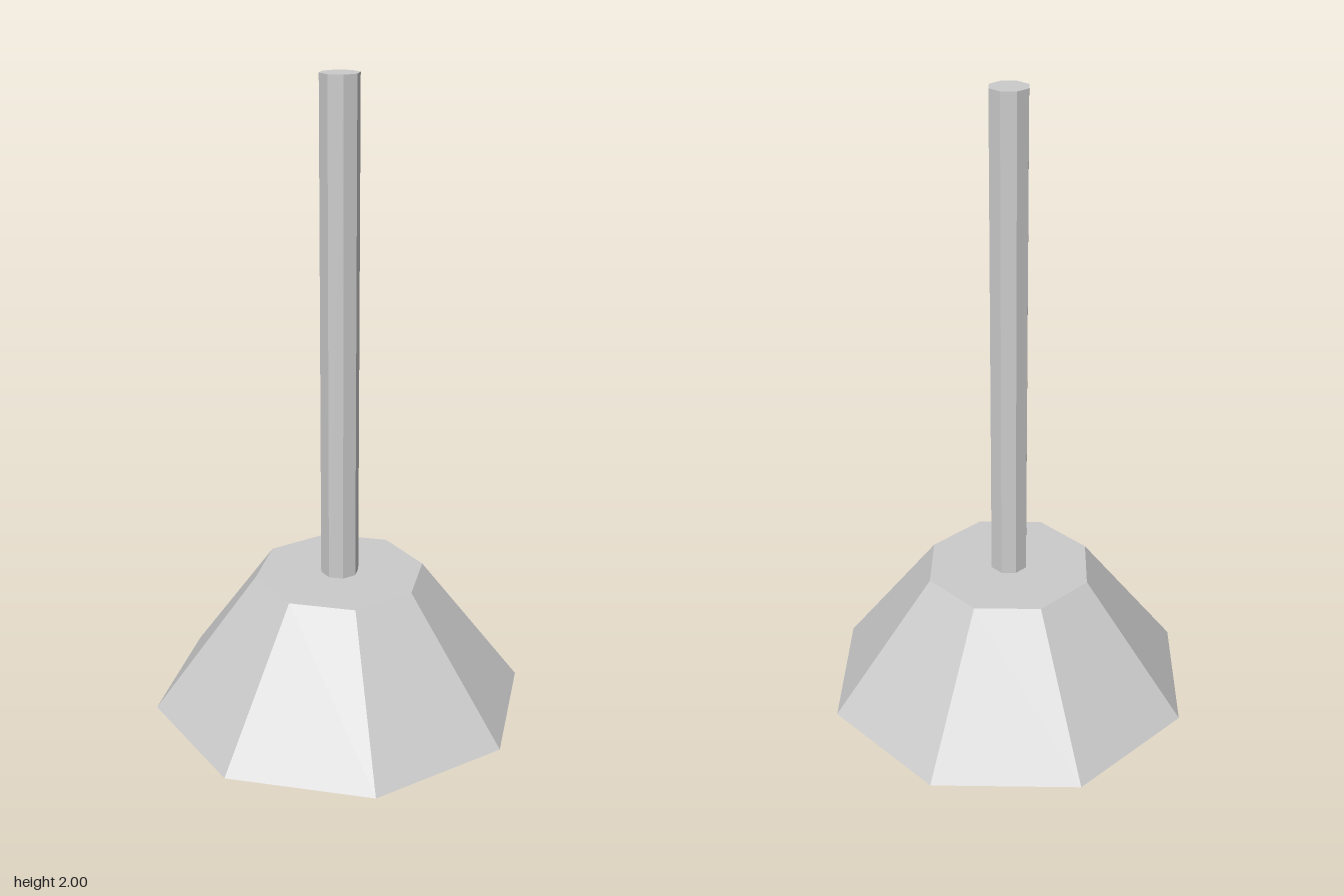
import * as THREE from 'three';

const SIDES = 8;
const BASE_HEIGHT = 0.44;
const TOTAL_HEIGHT = 2;

export function createModel() {
  const group = new THREE.Group();
  group.name = 'plunger';

  // Hollow octagonal cup, closed on top and open underneath
  const profile = [[0.6, 0], [0.27, BASE_HEIGHT], [0, BASE_HEIGHT]].map(([r, y]) => new THREE.Vector2(r, y));
  const cup = new THREE.Mesh(
    new THREE.LatheGeometry(profile, SIDES),
    new THREE.MeshStandardMaterial({ color: 0xcccccc, flatShading: true, side: THREE.DoubleSide })
  );
  cup.name = 'cup';
  group.add(cup);

  // Straight octagonal handle standing on the cup
  const length = TOTAL_HEIGHT - BASE_HEIGHT;
  const handle = new THREE.Mesh(
    new THREE.CylinderGeometry(0.06, 0.06, length, SIDES),
    new THREE.MeshStandardMaterial({ color: 0xcccccc, flatShading: true })
  );
  handle.name = 'handle';
  handle.position.y = BASE_HEIGHT + length / 2;
  group.add(handle);

  return group;
}
